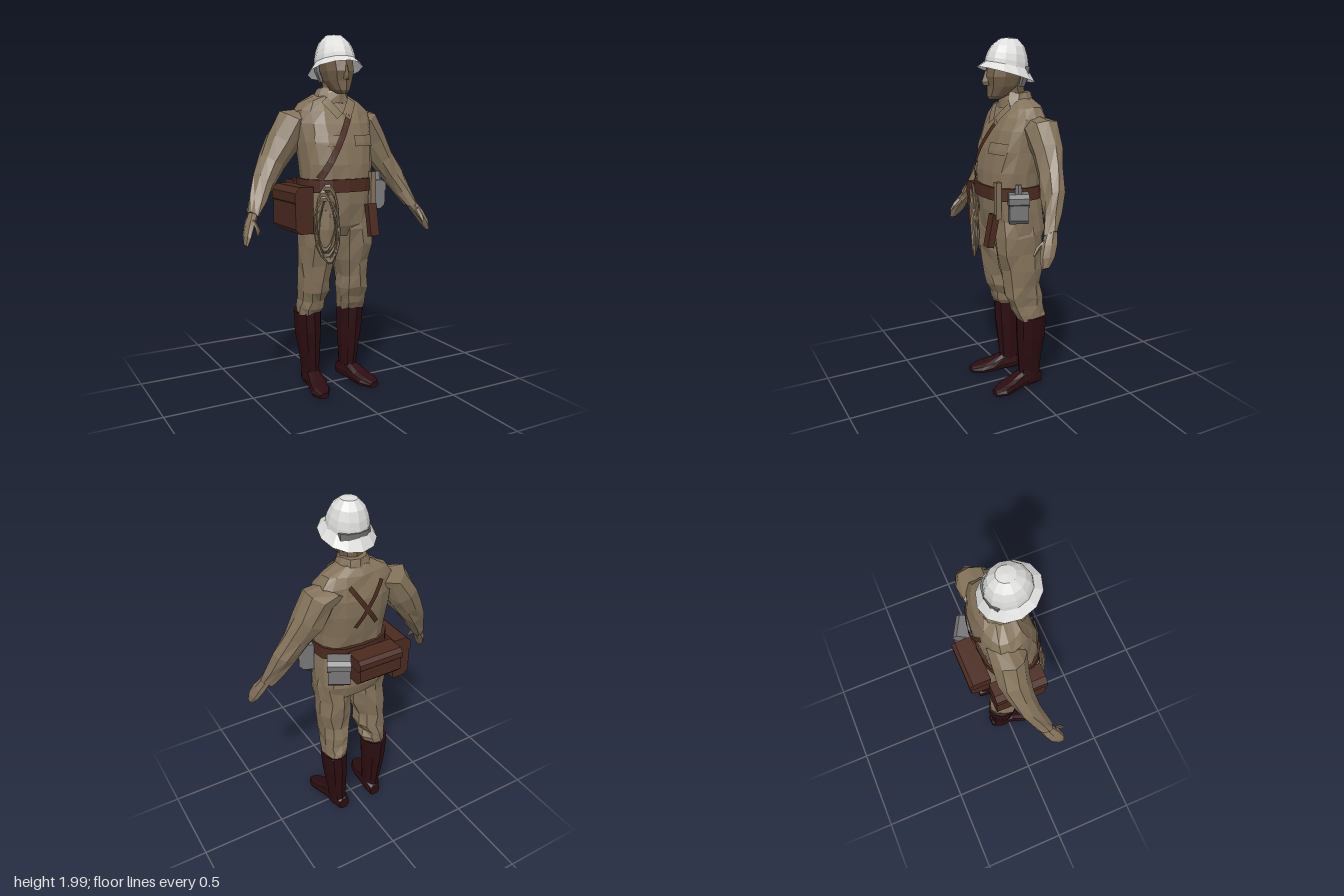
import * as THREE from 'three';

const mat = (name, color, side = THREE.FrontSide) => {
  const m = new THREE.MeshStandardMaterial({ color, side });
  m.name = name;
  return m;
};

export function createModel() {
  const model = new THREE.Group();
  const khaki = mat('khaki cloth', 0x83725a, THREE.DoubleSide);
  const skin = mat('skin', 0x6e5c45);
  const leather = mat('brown leather', 0x4a2a1f, THREE.DoubleSide);
  const bootHide = mat('dark boot leather', 0x2b0d10);
  const white = mat('helmet white', 0xdcdcda, THREE.DoubleSide);
  const grey = mat('grey metal', 0x757575);

  // seeded noise for cloth wrinkles
  let seed = 7;
  const rnd = () => {
    seed = (seed * 16807) % 2147483647;
    return seed / 2147483647 - 0.5;
  };

  const add = (name, geo, material) => {
    const g = geo.index ? geo.toNonIndexed() : geo;
    g.computeVertexNormals(); // faceted look
    const mesh = new THREE.Mesh(g, material);
    mesh.name = name;
    model.add(mesh);
    return mesh;
  };

  const surface = (verts, index) => {
    const g = new THREE.BufferGeometry();
    g.setAttribute('position', new THREE.Float32BufferAttribute(verts, 3));
    g.setIndex(index);
    return g;
  };

  // closed skin over rings [cx, cy, cz, ru, rv]; u x v points along the rings, s = -1 mirrors
  const Z = [0, 0, 1], X = [1, 0, 0], Y = [0, 1, 0];
  const loft = (rings, { n = 10, u = Z, v = X, pow = 1, jitter = 0, s = 1 } = {}) => {
    const verts = [], index = [];
    const tri = (a, b, c) => (s > 0 ? index.push(a, b, c) : index.push(a, c, b));
    const bend = (t) => Math.sign(t) * Math.abs(t) ** pow;
    for (const [cx, cy, cz, ru, rv] of rings) {
      for (let i = 0; i < n; i++) {
        const a = (i / n) * Math.PI * 2;
        const p = bend(Math.cos(a)) * ru, q = bend(Math.sin(a)) * rv;
        const c = [cx, cy, cz].map((o, k) => o + u[k] * p + v[k] * q + rnd() * jitter);
        verts.push(c[0] * s, c[1], c[2]);
      }
    }
    const last = rings.length - 1, base = verts.length / 3;
    for (const r of [rings[0], rings[last]]) verts.push(r[0] * s, r[1], r[2]);
    for (let i = 0; i < n; i++) {
      const j = (i + 1) % n;
      for (let r = 0; r < last; r++) {
        const a = r * n + i, b = r * n + j;
        tri(a, b, b + n);
        tri(a, b + n, a + n);
      }
      tri(base, j, i);
      tri(base + 1, last * n + i, last * n + j);
    }
    return surface(verts, index);
  };
  // ring given as height, front z, back z, half width
  const slice = ([y, f, b, w, x = 0]) => [x, y, (f + b) / 2, (f - b) / 2, w];

  // tunic
  const body = [
    [0.9, 0.13, -0.125, 0.205], [0.97, 0.16, -0.145, 0.22], [1.08, 0.18, -0.13, 0.215],
    [1.19, 0.185, -0.115, 0.2], [1.3, 0.185, -0.13, 0.205], [1.42, 0.165, -0.153, 0.22],
    [1.52, 0.13, -0.155, 0.225], [1.59, 0.095, -0.142, 0.22], [1.64, 0.065, -0.125, 0.18],
    [1.68, 0.04, -0.1, 0.09],
  ];
  add('tunic', loft(body.map(slice), { n: 16, pow: 0.8, jitter: 0.012 }), khaki);
  add('collar', loft([[1.63, 0.08, -0.11, 0.12], [1.68, 0.075, -0.105, 0.095], [1.715, 0.06, -0.095, 0.078]].map(slice),
    { n: 10, jitter: 0.008 }), khaki);

  // depth of the tunic surface at (x, y) on the front (1) or back (-1)
  const depth = (x, y, side) => {
    const k = Math.max(1, body.findIndex((r) => r[0] >= y));
    const t = (y - body[k - 1][0]) / (body[k][0] - body[k - 1][0]);
    const [, f, b, w] = body[k].map((e, i) => body[k - 1][i] * (1 - t) + e * t);
    const h = Math.max(0, 1 - Math.abs(x / w) ** 2.5) ** 0.4;
    return (f + b) / 2 + side * ((f - b) / 2 * h + 0.013);
  };
  // flat band lying on the tunic
  const band = (name, x0, y0, x1, y1, width, side, material) => {
    const verts = [], index = [], steps = 8, len = Math.hypot(x1 - x0, y1 - y0);
    const ox = (-(y1 - y0) / len) * width / 2, oy = ((x1 - x0) / len) * width / 2;
    for (let i = 0; i <= steps; i++) {
      const t = i / steps, x = x0 + (x1 - x0) * t, y = y0 + (y1 - y0) * t;
      for (const e of [-1, 0, 1]) verts.push(x + ox * e, y + oy * e, depth(x + ox * e, y + oy * e, side));
      const k = i * 3;
      if (i < steps) for (const a of [k, k + 1]) index.push(a, a + 1, a + 4, a, a + 4, a + 3);
    }
    return add(name, surface(verts, index), material);
  };
  band('chestStrap', 0.04, 1.57, -0.16, 1.23, 0.035, 1, leather);
  band('backStrap', -0.1, 1.6, 0.06, 1.36, 0.026, -1, leather);
  band('backStrap', 0.09, 1.6, -0.07, 1.36, 0.026, -1, leather);
  for (const s of [1, -1]) {
    band('pocketFlap', s * 0.11, 1.46, s * 0.11, 1.4, 0.13, 1, khaki).position.z = -0.003;
    band('lapel', s * 0.085, 1.65, s * 0.02, 1.56, 0.05, 1, khaki);
  }
  add('belt', loft([[1.155, 0.2, -0.132, 0.217], [1.225, 0.2, -0.135, 0.215]].map(slice), { n: 16, pow: 0.8 }), leather);

  for (const s of [1, -1]) {
    // trousers, bloused over the boots
    add('trouserLeg', loft([
      [0.45, 0.045, -0.12, 0.07, 0.138], [0.49, 0.065, -0.125, 0.08, 0.13], [0.53, 0.08, -0.115, 0.073, 0.125],
      [0.59, 0.105, -0.115, 0.084, 0.122], [0.66, 0.115, -0.105, 0.085, 0.12], [0.75, 0.135, -0.105, 0.102, 0.112],
      [0.85, 0.16, -0.11, 0.108, 0.11], [0.95, 0.17, -0.11, 0.112, 0.108], [1.05, 0.16, -0.1, 0.1, 0.1],
    ].map(slice), { n: 10, pow: 0.9, jitter: 0.02, s }), khaki);

    // boots
    add('bootShaft', loft([
      [0.04, 0.03, -0.11, 0.05, 0.125], [0.12, 0.025, -0.108, 0.05, 0.125], [0.22, 0.035, -0.115, 0.062, 0.13],
      [0.34, 0.045, -0.13, 0.073, 0.136], [0.46, 0.05, -0.135, 0.079, 0.14],
    ].map(slice), { n: 10, jitter: 0.004, s }), bootHide);
    add('bootFoot', loft([
      [0.115, 0.05, -0.115, 0.035, 0.038], [0.12, 0.065, -0.06, 0.05, 0.053], [0.128, 0.062, 0.02, 0.048, 0.05],
      [0.14, 0.047, 0.09, 0.058, 0.035], [0.155, 0.038, 0.15, 0.058, 0.026], [0.163, 0.032, 0.205, 0.028, 0.016],
    ], { n: 10, u: X, v: Y, pow: 0.75, s }), bootHide);

    // sleeves and hands
    const limb = { u: [0.84, 0.54, 0], v: Z, s };
    add('sleeve', loft([
      [0.13, 1.56, -0.05, 0.07, 0.08], [0.215, 1.535, -0.05, 0.098, 0.09], [0.285, 1.42, -0.052, 0.093, 0.085],
      [0.35, 1.32, -0.038, 0.078, 0.068], [0.41, 1.22, -0.015, 0.066, 0.06], [0.46, 1.13, 0.02, 0.05, 0.05],
      [0.505, 1.05, 0.055, 0.037, 0.044],
    ], { ...limb, n: 9, jitter: 0.016 }), khaki);
    add('hand', loft([
      [0.5, 1.06, 0.05, 0.028, 0.036], [0.535, 1.0, 0.08, 0.026, 0.048], [0.56, 0.945, 0.105, 0.02, 0.045],
      [0.575, 0.9, 0.125, 0.009, 0.022],
    ], { ...limb, n: 7 }), khaki);
    add('thumb', loft([
      [0.52, 1.03, 0.085, 0.016, 0.02], [0.515, 0.99, 0.135, 0.015, 0.016], [0.52, 0.955, 0.16, 0.007, 0.008],
    ], { ...limb, n: 5 }), khaki);
  }

  // head
  add('neck', loft([[1.62, 0.065, -0.08, 0.065], [1.78, 0.08, -0.06, 0.062]].map(slice), { n: 8 }), skin);
  add('head', loft([
    [1.68, 0.145, 0.08, 0.02], [1.7, 0.155, 0.03, 0.045], [1.75, 0.155, -0.04, 0.073],
    [1.8, 0.165, -0.07, 0.085], [1.87, 0.145, -0.08, 0.088],
  ].map(slice), { n: 10, pow: 0.9 }), skin);
  add('nose', loft([[1.755, 0.178, 0.13, 0.018], [1.775, 0.186, 0.13, 0.016], [1.83, 0.165, 0.13, 0.008]].map(slice), { n: 4 }), skin);
  add('hair', loft([[1.745, 0.01, -0.058, 0.068], [1.8, 0.015, -0.082, 0.09], [1.85, 0.015, -0.088, 0.092]].map(slice), { n: 10 }), grey);

  // helmet: turned profile with the brim sloping down to the back
  const profile = [[0.15, -0.008], [0.112, 0.04], [0.11, 0.065], [0.102, 0.1], [0.084, 0.142], [0.045, 0.18], [0, 0.186]];
  const helmet = new THREE.LatheGeometry(profile.map(([r, y]) => new THREE.Vector2(r, y)), 12);
  helmet.scale(1, 1, 1.06);
  const hp = helmet.attributes.position;
  for (let i = 0; i < hp.count; i++) {
    const y = hp.getY(i);
    hp.setY(i, y + hp.getZ(i) * 0.28 * (1 - y / 0.186));
    hp.setZ(i, hp.getZ(i) + 0.04 - y * 0.1);
  }
  add('helmet', helmet, white).position.set(-0.005, 1.814, 0);

  // pouch with chamfered outer edges, opening outwards along local x
  const pouch = (name, w, h, d, angle, [x, y, z], material) => {
    const box = (hh, dd, ww) => {
      const c = Math.min(dd, hh) * 0.28;
      const s = new THREE.Shape([[0, -hh / 2], [dd - c, -hh / 2], [dd, -hh / 2 + c], [dd, hh / 2 - c], [dd - c, hh / 2], [0, hh / 2]]
        .map((p) => new THREE.Vector2(...p)));
      return new THREE.ExtrudeGeometry(s, { depth: ww, bevelEnabled: false }).translate(0, 0, -ww / 2);
    };
    for (const [part, geo, dy] of [[name, box(h, d, w), 0], [name + 'Flap', box(h * 0.45, d + 0.006, w + 0.008), h * 0.29]]) {
      const m = add(part, geo, material);
      m.rotation.y = angle;
      m.position.set(x, y + dy, z);
    }
  };
  pouch('backPouch', 0.26, 0.16, 0.115, Math.PI / 2, [-0.045, 1.12, -0.13], leather);
  pouch('sideBag', 0.29, 0.25, 0.105, Math.PI, [-0.195, 1.06, 0], leather);
  pouch('canteen', 0.1, 0.16, 0.085, -0.4, [0.195, 1.125, 0.075], grey);
  pouch('messTin', 0.12, 0.16, 0.085, 1.05, [0.14, 1.12, -0.115], grey);
  add('canteenCap', new THREE.CylinderGeometry(0.018, 0.022, 0.05, 6), grey).position.set(0.24, 1.23, 0.095);

  // scabbard and handle at the front left
  const scabbard = add('scabbard', new THREE.BoxGeometry(0.055, 0.18, 0.038), leather);
  scabbard.position.set(0.138, 0.995, 0.205);
  scabbard.rotation.x = -0.2;
  add('scabbardHanger', new THREE.BoxGeometry(0.03, 0.2, 0.03), khaki).position.set(0.155, 1.16, 0.175);

  // coiled rope at the front right
  for (const [x, y, rx, ry, tilt] of [[-0.13, 1.0, 0.062, 0.19, 0], [-0.14, 0.97, 0.05, 0.19, 0.12], [-0.12, 1.0, 0.045, 0.16, -0.1], [-0.135, 0.96, 0.068, 0.17, 0.08]]) {
    const geo = new THREE.TorusGeometry(1, 0.09, 5, 14).scale(rx, ry, 0.09);
    const rope = add('ropeCoil', geo, khaki);
    rope.position.set(x, y, 0.18 + tilt * 0.08);
    rope.rotation.set(0.03, -0.3, tilt);
  }
  return model;
}
